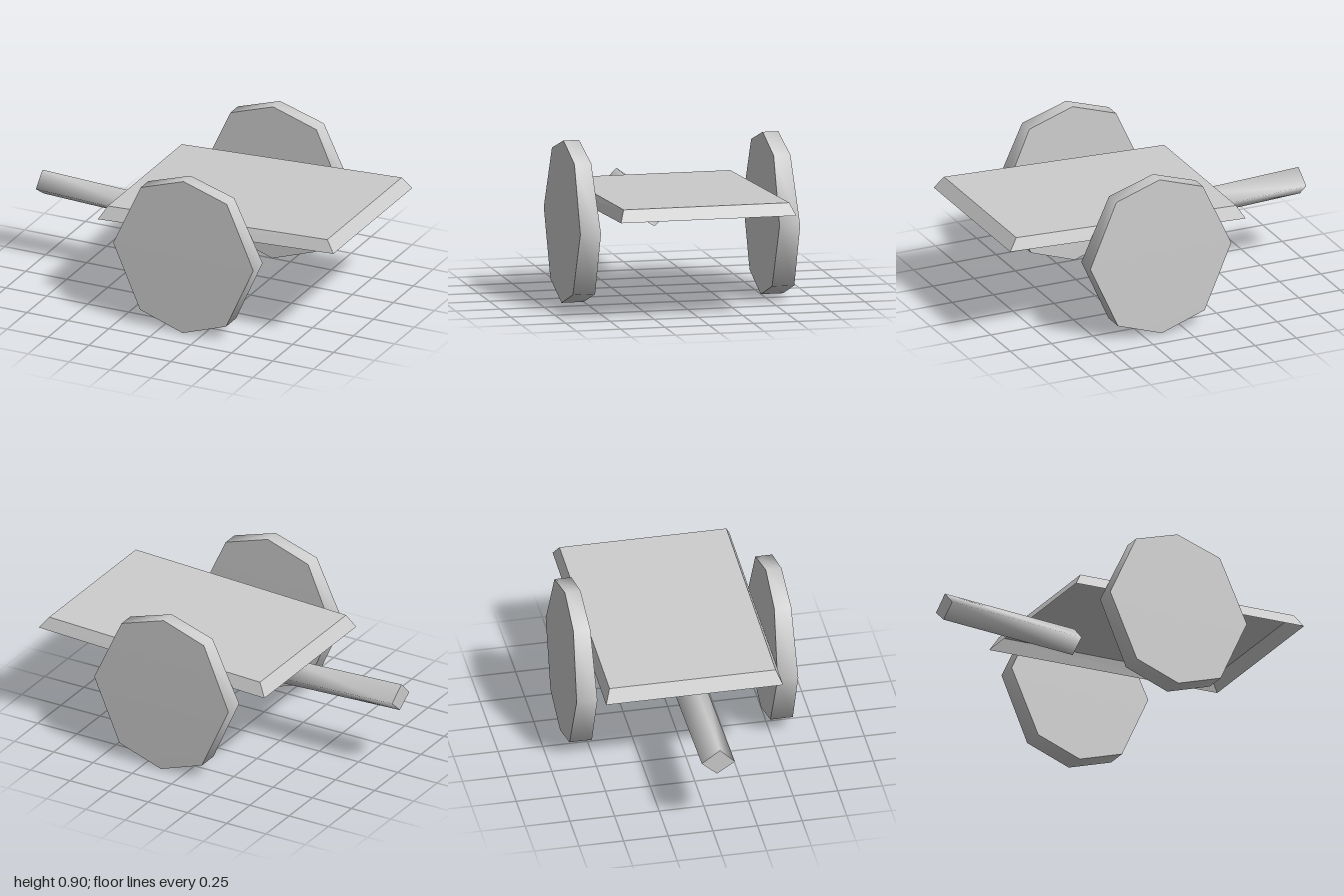
import * as THREE from 'three';

// Joins ring a to ring b (counter-clockwise seen from b's side), with optional flat caps
function loft(a, b, { smooth = true, capA = true, capB = true } = {}) {
  const pos = [];
  const index = [];
  const n = a.length;
  const add = (ring) => {
    const start = pos.length / 3;
    ring.forEach((p) => pos.push(...p));
    return start;
  };
  const sa = add(a);
  const sb = add(b);
  for (let i = 0; i < n; i++) {
    const j = (i + 1) % n;
    index.push(sa + i, sa + j, sb + j, sa + i, sb + j, sb + i);
  }
  const cap = (ring, flip) => {
    const s = add(ring);
    for (let i = 1; i < n - 1; i++) {
      index.push(s, s + (flip ? i + 1 : i), s + (flip ? i : i + 1));
    }
  };
  if (capA) cap(a, true);
  if (capB) cap(b, false);
  let geo = new THREE.BufferGeometry();
  geo.setAttribute('position', new THREE.Float32BufferAttribute(pos, 3));
  geo.setIndex(index);
  if (!smooth) geo = geo.toNonIndexed();
  geo.computeVertexNormals();
  return geo;
}

export function createModel() {
  const group = new THREE.Group();
  const grey = new THREE.MeshStandardMaterial({ color: 0xcccccc, side: THREE.DoubleSide });
  grey.name = 'plain grey';
  const addMesh = (name, geo) => {
    const mesh = new THREE.Mesh(geo, grey);
    mesh.name = name;
    group.add(mesh);
    return mesh;
  };

  // Octagonal wheels, slightly thinner towards the top
  const outline = [
    [0.57, 0.455], [0.405, 0.82], [0.14, 0.905], [-0.12, 0.82],
    [-0.285, 0.46], [-0.12, 0.09], [0.14, 0], [0.405, 0.09],
  ];
  const wheelRing = (z, lean) => outline.map(([x, y]) => [x, y, z + lean * (y / 0.905) ** 2]);
  const wheelGeo = loft(wheelRing(0.5, 0.027), wheelRing(0.626, -0.011));
  addMesh('frontWheel', wheelGeo);
  addMesh('backWheel', wheelGeo).position.z = -1.125;

  // Tilted deck: a shallow lid with sloping sides, open underneath
  addMesh('deck', loft(
    [[-0.435, 0.525, 0.508], [0.997, 0.59, 0.497], [0.997, 0.59, -0.493], [-0.435, 0.525, -0.483]],
    [[-0.39, 0.6, 0.475], [0.947, 0.655, 0.47], [0.947, 0.655, -0.465], [-0.39, 0.6, -0.455]],
    { smooth: false, capA: false },
  ));

  // Four-sided pole, open at the end under the deck
  const section = [[0.442, 0.123], [0.526, 0.04], [0.452, -0.062], [0.376, 0.022]];
  const poleRing = (x, drop) => section.map(([y, z]) => [x, y - drop, z]);
  addMesh('pole', loft(poleRing(-0.19, 0.033), poleRing(-1, 0), { capA: false }));

  return group;
}
